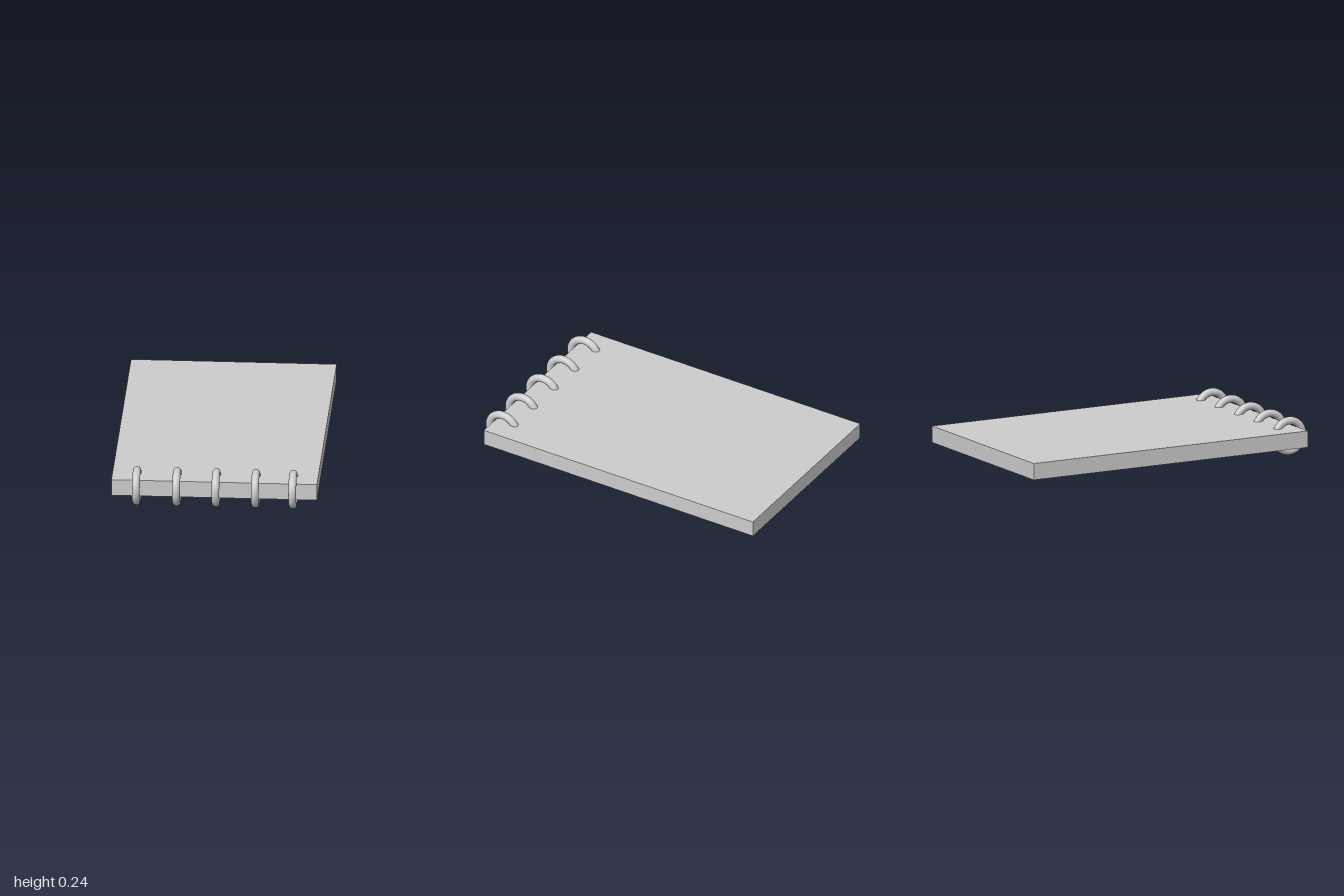
import * as THREE from 'three';

export function createModel() {
  const model = new THREE.Group();
  const material = new THREE.MeshStandardMaterial({ color: 0xcccccc });

  // Flat pad of pages
  const pad = new THREE.Mesh(new THREE.BoxGeometry(1.26, 0.103, 1.927), material);
  pad.name = 'pad';
  pad.position.set(0, 0.121, -0.0365);
  model.add(pad);

  // Binding rings along the front edge, passing through the pad
  const ringGeometry = new THREE.TorusGeometry(0.095, 0.024, 20, 64);
  ringGeometry.rotateY(Math.PI / 2);
  const rings = new THREE.Group();
  rings.name = 'bindingRings';
  [-0.477, -0.231, 0.01, 0.252, 0.481].forEach((x, i) => {
    const ring = new THREE.Mesh(ringGeometry, material);
    ring.name = `bindingRing${i + 1}`;
    ring.position.set(x, 0.119, 0.881);
    rings.add(ring);
  });
  model.add(rings);

  return model;
}
